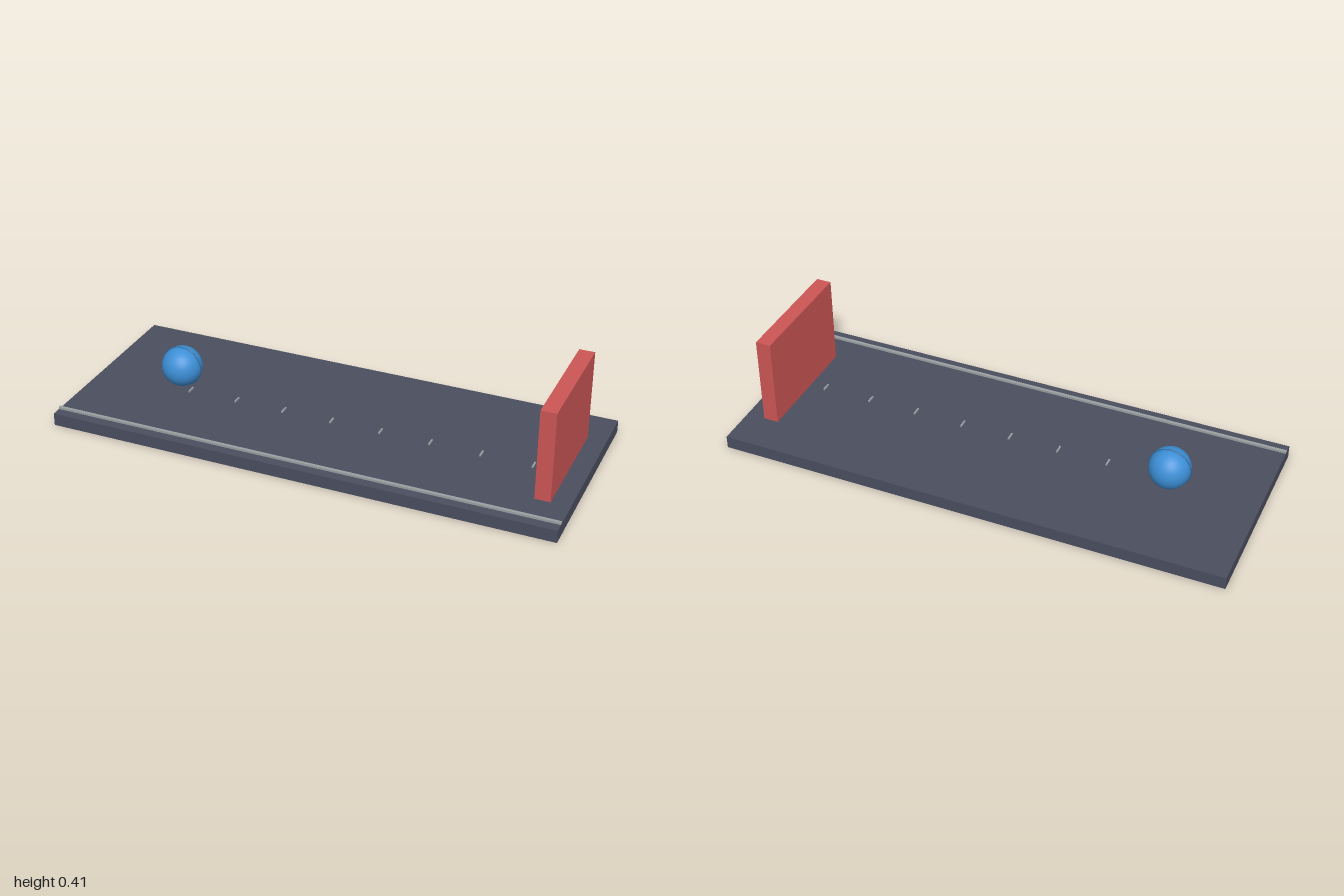
import * as THREE from 'three';

const mat = (name, color) => {
  const m = new THREE.MeshStandardMaterial({ color });
  m.name = name;
  return m;
};

export function createModel() {
  const group = new THREE.Group();
  const slate = mat('slate', 0x4a4e5e);
  const red = mat('red', 0xcc5555);
  const blue = mat('blue', 0x3d8fd6);
  const darkBlue = mat('dark blue', 0x2c6ba3);
  const grey = mat('light grey', 0x9a9fa3);

  const add = (name, geometry, material, x, y, z) => {
    const mesh = new THREE.Mesh(geometry, material);
    mesh.name = name;
    mesh.position.set(x, y, z);
    group.add(mesh);
    return mesh;
  };

  // Flat track with an upright wall near its left end
  add('base', new THREE.BoxGeometry(2, 0.05, 0.8), slate, 0, 0.025, 0);
  add('wall', new THREE.BoxGeometry(0.06, 0.36, 0.48), red, 0.896, 0.23, 0);

  // Ball with a thin seam around its middle
  add('ball', new THREE.SphereGeometry(0.08, 32, 24), blue, -0.652, 0.133, 0);
  add('ballSeam', new THREE.TorusGeometry(0.08, 0.003, 8, 48), darkBlue, -0.652, 0.133, 0);

  // Thin rail along the front edge
  add('frontRail', new THREE.BoxGeometry(2, 0.009, 0.012), grey, 0, 0.0545, 0.356);

  // Distance marks between ball and wall
  const tick = new THREE.BoxGeometry(0.006, 0.006, 0.036);
  for (let i = 0; i < 8; i++) {
    add('distanceMark', tick, grey, -0.6 + i * 0.2, 0.053, 0.032);
  }

  return group;
}
